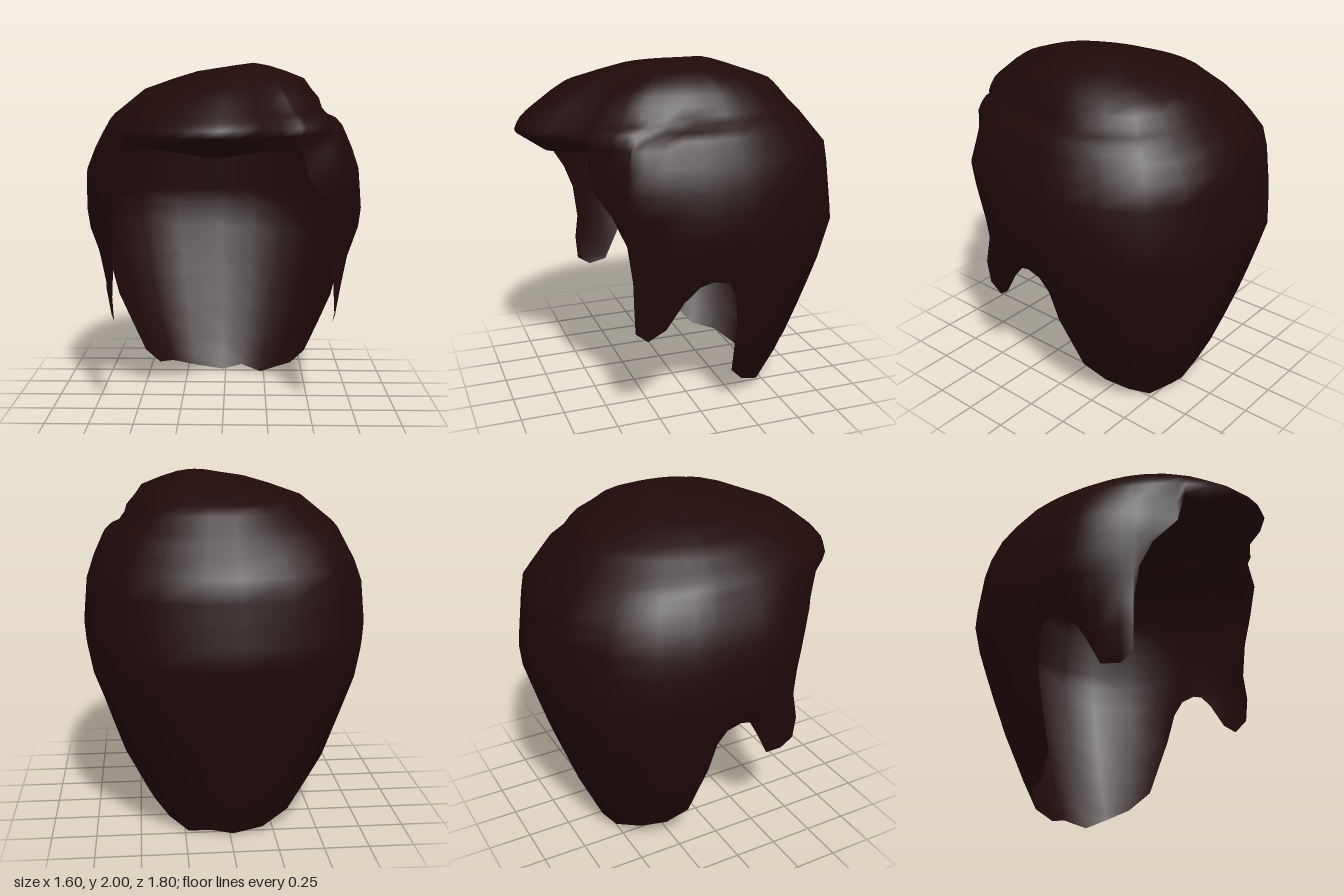
import * as THREE from 'three';
import { mergeVertices } from 'three/addons/utils/BufferGeometryUtils.js';

// Profiles: [height, reach from the vertical axis], top to bottom
const LOWER_SIDE = [[1.44, 0.775], [1.17, 0.8], [0.95, 0.785], [0.6, 0.66], [0.37, 0.58], [0.1, 0.43], [0, 0.38]];
const RIGHT = [[1.98, 0.1], [1.95, 0.26], [1.87, 0.43], [1.7, 0.64], ...LOWER_SIDE];
const LEFT = [[1.98, 0.12], [1.95, 0.25], [1.92, 0.38], [1.87, 0.48], [1.82, 0.535], [1.74, 0.575], [1.69, 0.66], ...LOWER_SIDE];
const FRONT = [[1.98, 0.25], [1.95, 0.36], [1.84, 0.65], [1.66, 0.88], [1.61, 0.9], [1.5, 0.74], [1.4, 0.74], [1.1, 0.66], [0.9, 0.67], [0.6, 1.12], [0, 0.7]];
const BACK = [[1.98, 0.18], [1.95, 0.27], [1.85, 0.55], [1.52, 0.845], [1.06, 0.9], [0.65, 0.78], [0.2, 0.62], [0, 0.53]];
const ROWS = [1.98, 1.95, 1.91, 1.85, 1.8, 1.75, 1.715, 1.685, 1.65, 1.61, 1.52, 1.4, 1.28, 1.17, 1.06, 0.9, 0.75, 0.6, 0.4, 0.2, 0.1, 0];

// Lower hem: [degrees from the front, height], fringe -> sideburn -> ear gap -> nape
const OPENING = [[15, 1.53], [25, 1.55], [34, 1.56], [36.5, 1.4], [47, 1.25], [52.5, 1.1], [54.5, 0.9]];
const EAR_GAP = [[83, 0.86], [89, 0.89], [96, 0.87], [100, 0.78], [103, 0.6], [111, 0.23], [125, 0.12]];
const LEFT_HEM = [[6, 1.52], ...OPENING, [55.5, 0.61], [60, 0.55], [68, 0.62], [76, 0.77], ...EAR_GAP, [140, 0.06], [154, 0], [169, 0.03]];
const RIGHT_HEM = [...OPENING, [55, 0.61], [60, 0.56], [69, 0.575], [77, 0.75], ...EAR_GAP, [141, 0.09], [160, 0.03], [178, 0]];

function sample(profile, y) {
  if (y >= profile[0][0]) return profile[0][1];
  for (let i = 1; i < profile.length; i++) {
    const [y0, r0] = profile[i - 1], [y1, r1] = profile[i];
    if (y >= y1) return r0 + (r1 - r0) * (y0 - y) / (y0 - y1);
  }
  return profile[profile.length - 1][1];
}

const bell = (v, centre, width) => Math.exp(-(((v - centre) / width) ** 2));

function surfacePoint(deg, y) {
  const a = THREE.MathUtils.degToRad(deg), s = Math.sin(a), c = Math.cos(a);
  const side = sample(s > 0 ? LEFT : RIGHT, y), depth = sample(c > 0 ? FRONT : BACK, y);
  // squareness of the cross-section: fuller at the back and low down, rounder on the right of the crown
  const crown = THREE.MathUtils.smoothstep(y, 1.6, 1.9);
  const backPower = 2.5 + 0.2 * THREE.MathUtils.clamp(1.2 - y, 0, 1) - (s > 0 ? 0 : 0.55 * crown);
  const n = c > 0 ? (y < 1.45 ? 2.1 : 2) : backPower;
  let r = (Math.abs(s / side) ** n + Math.abs(c / depth) ** n) ** (-1 / n);
  // fringe swept away from the parting, and the parting crease itself
  if (y > 1.45) r *= 1 - 0.13 * bell(deg, 25, 13);
  const creaseY = 1.715 - 0.13 * bell(deg, 40, 20);
  r -= 0.05 * bell(y, creaseY, 0.03) * bell(deg, 75, 32);
  // fullness over the temples
  r += (0.045 * bell(deg, 60, 11) + 0.025 * bell(deg, -70, 11)) * bell(y, 1.42, 0.22);
  // hair tucked in around the ears
  r -= 0.07 * bell(Math.abs(deg), 86, 16) * bell(y, 0.8, 0.17);
  // crown leans to the left
  const lean = Math.max(0, y - 1.86) * 1.2;
  return [r * s + lean, y, r * c];
}

function hairGeometry() {
  const mirrored = RIGHT_HEM.map(([deg, y]) => [-deg, y]).reverse();
  const columns = [...mirrored, [-6, 1.51], [0, 1.51], ...LEFT_HEM];
  const count = columns.length, positions = [], index = [];
  for (let i = 0; i < count; i++) positions.push(0.17, 2, -0.1);
  for (const row of ROWS) {
    for (const [deg, hem] of columns) positions.push(...surfacePoint(deg, Math.max(row, hem)));
  }
  const point = (k) => new THREE.Vector3().fromArray(positions, k * 3);
  const face = (a, b, c) => {
    if (new THREE.Triangle(point(a), point(b), point(c)).getArea() > 1e-7) index.push(a, b, c);
  };
  for (let i = 0; i < ROWS.length; i++) {
    for (let j = 0; j < count; j++) {
      const a = i * count + j, b = i * count + (j + 1) % count;
      face(a, a + count, b);
      face(b, a + count, b + count);
    }
  }
  const geometry = new THREE.BufferGeometry();
  geometry.setAttribute('position', new THREE.Float32BufferAttribute(positions, 3));
  geometry.setIndex(index);
  const merged = mergeVertices(geometry, 1e-4);
  merged.computeVertexNormals();
  return merged;
}

export function createModel() {
  const group = new THREE.Group();
  group.name = 'hairpiece';
  const darkBrown = new THREE.MeshStandardMaterial({ color: 0x200909, side: THREE.DoubleSide });
  darkBrown.name = 'dark brown hair';
  // Open shell: crown, fringe, sideburns and nape in one surface
  const hair = new THREE.Mesh(hairGeometry(), darkBrown);
  hair.name = 'hairShell';
  group.add(hair);
  return group;
}
